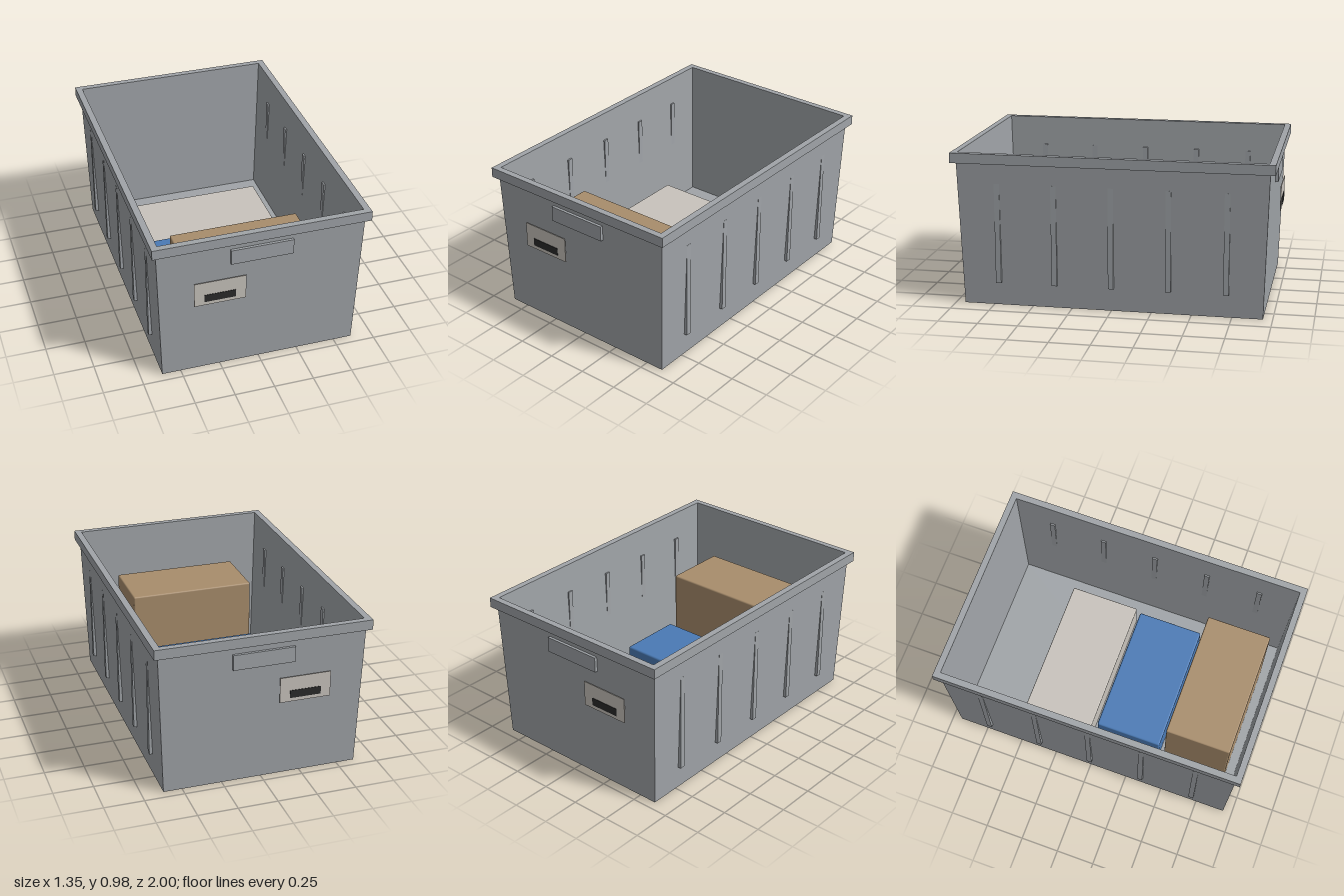
import * as THREE from 'three';
import { RoundedBoxGeometry } from 'three/addons/geometries/RoundedBoxGeometry.js';

const mat = (name, color) => {
  const m = new THREE.MeshStandardMaterial({ color });
  m.name = name;
  return m;
};

// Lofts rectangular rings [halfX, y, halfZ] into one flat-faced skin
function loftRings(rings) {
  const corners = [[1, 1], [1, -1], [-1, -1], [-1, 1]];
  const at = (i, j) => {
    const [hx, y, hz] = rings[i];
    const [sx, sz] = corners[j % 4];
    return [sx * hx, y, sz * hz];
  };
  const pos = [];
  for (let i = 0; i < rings.length - 1; i++) {
    for (let j = 0; j < 4; j++) {
      const a = at(i, j), b = at(i, j + 1), c = at(i + 1, j + 1), d = at(i + 1, j);
      pos.push(...a, ...b, ...c, ...a, ...c, ...d);
    }
  }
  const g = new THREE.BufferGeometry();
  g.setAttribute('position', new THREE.Float32BufferAttribute(pos, 3));
  g.computeVertexNormals();
  return g;
}

// Rectangle outline for shapes and holes
function rect(target, hx, hz) {
  target.moveTo(-hx, -hz);
  target.lineTo(hx, -hz);
  target.lineTo(hx, hz);
  target.lineTo(-hx, hz);
  target.closePath();
  return target;
}

export function createModel() {
  const model = new THREE.Group();
  model.name = 'storageBin';

  const grey = mat('greyPlastic', 0xa0a4a8);
  const cream = mat('creamCard', 0xc8c3bc);
  const blue = mat('blueBox', 0x4a7ab5);
  const tan = mat('brownCardboard', 0xa88d6c);
  const black = mat('blackPrint', 0x2a2a2a);

  const add = (name, geometry, material, x = 0, y = 0, z = 0) => {
    const mesh = new THREE.Mesh(geometry, material);
    mesh.name = name;
    mesh.position.set(x, y, z);
    model.add(mesh);
    return mesh;
  };
  // Box given by its minimum and maximum corners
  const span = (name, material, x0, x1, y0, y1, z0, z1, radius = 0) => {
    const s = [x1 - x0, y1 - y0, z1 - z0];
    const g = radius ? new RoundedBoxGeometry(...s, 2, radius) : new THREE.BoxGeometry(...s);
    return add(name, g, material, (x0 + x1) / 2, (y0 + y1) / 2, (z0 + z1) / 2);
  };

  // Tapered open tub with thin walls and a floor
  add('tub', loftRings([
    [0, 0, 0],
    [0.617, 0, 0.941],
    [0.648, 0.97, 0.969],
    [0.634, 0.97, 0.96],
    [0.603, 0.025, 0.93],
    [0, 0.025, 0],
  ]), grey);

  // Rim frame around the opening
  const frame = rect(new THREE.Shape(), 0.675, 1);
  frame.holes.push(rect(new THREE.Path(), 0.634, 0.96));
  const rim = new THREE.ExtrudeGeometry(frame, { depth: 0.063, bevelEnabled: false });
  rim.rotateX(-Math.PI / 2);
  add('rim', rim, grey, 0, 0.912, 0);

  // Upright ribs, set through the sloping long walls
  for (const side of [1, -1]) {
    for (let i = -2; i <= 2; i++) {
      add('rib', new THREE.BoxGeometry(0.025, 0.638, 0.034), grey,
        side * 0.63, 0.466, i * 0.357);
    }
  }

  // Hand grip, label and printed bar on both ends
  for (const end of [1, -1]) {
    add('handGrip', new THREE.BoxGeometry(0.388, 0.098, 0.02), grey, 0, 0.814, end * 0.973);
    add('label', new THREE.BoxGeometry(0.322, 0.163, 0.005), cream, -0.261, 0.587, end * 0.981);
    add('labelBar', new THREE.BoxGeometry(0.196, 0.05, 0.004), black, -0.262, 0.554, end * 0.984);
  }

  // Boxes standing on the floor
  span('creamBox', cream, -0.512, 0.457, 0.025, 0.255, -0.52, -0.06, 0.008);
  span('blueBox', blue, -0.421, 0.421, 0.025, 0.3, -0.022, 0.412, 0.012);
  span('brownBox', tan, -0.421, 0.407, 0.025, 0.663, 0.448, 0.872, 0.01);

  return model;
}
